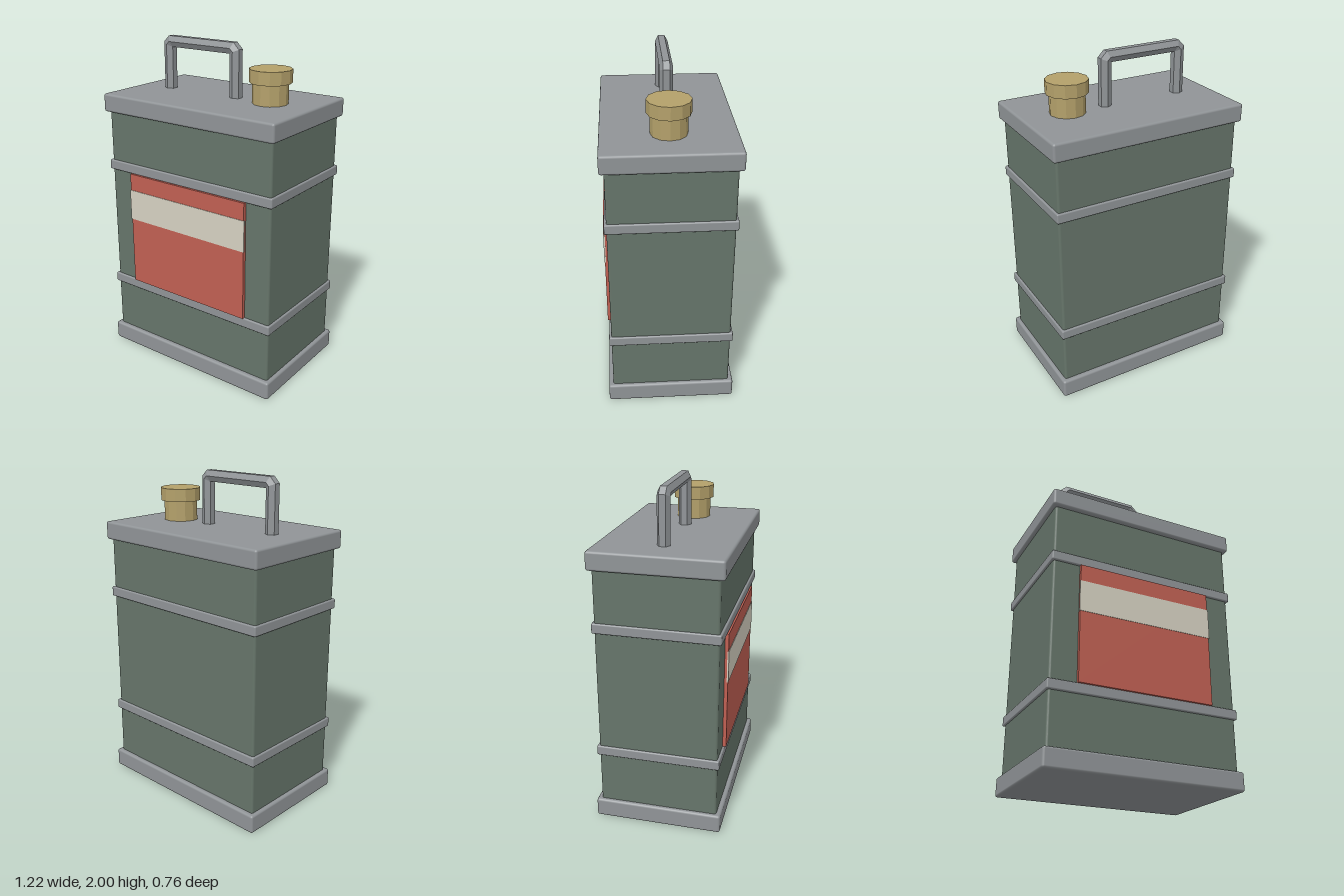
import * as THREE from 'three';
import { RoundedBoxGeometry } from 'three/addons/geometries/RoundedBoxGeometry.js';

const material = (name, color, flatShading = false) => {
  const m = new THREE.MeshStandardMaterial({ color, flatShading });
  m.name = name;
  return m;
};

// Hexagonal bar swept along a path in the xy plane, mitred at each bend
function hexBar(path, radius) {
  const positions = [], index = [], n = 6;
  path.forEach((p, i) => {
    const a = p.clone().sub(path[Math.max(i - 1, 0)]).normalize();
    const b = path[Math.min(i + 1, path.length - 1)].clone().sub(p).normalize();
    const t = a.clone().add(b).normalize();
    const ref = a.lengthSq() ? a : b;
    const mitre = 1 / t.dot(ref);
    for (let k = 0; k < n; k++) {
      const angle = (k / n) * Math.PI * 2;
      const side = Math.sin(angle) * radius * mitre;
      positions.push(p.x - t.y * side, p.y + t.x * side, Math.cos(angle) * radius);
    }
  });
  for (let i = 0; i < path.length - 1; i++) {
    for (let k = 0; k < n; k++) {
      const a = i * n + k, b = i * n + ((k + 1) % n);
      index.push(a, a + n, b, b, a + n, b + n);
    }
  }
  const g = new THREE.BufferGeometry();
  g.setAttribute('position', new THREE.Float32BufferAttribute(positions, 3));
  g.setIndex(index);
  g.computeVertexNormals();
  return g;
}

export function createModel() {
  const model = new THREE.Group();
  model.name = 'fuelCan';

  const green = material('green paint', 0x66756a);
  const steel = material('grey steel', 0x909497);
  const bar = steel.clone();
  bar.flatShading = true;
  bar.side = THREE.DoubleSide;
  const brass = material('brass', 0xb3a06a, true);
  const red = material('red label', 0xc06053);
  const cream = material('cream stripe', 0xd6d1c1);

  const add = (name, geometry, mat, x = 0, y = 0, z = 0) => {
    const mesh = new THREE.Mesh(geometry, mat);
    mesh.name = name;
    mesh.position.set(x, y, z);
    model.add(mesh);
    return mesh;
  };
  // Softened box given by its bottom and top heights
  const slab = (name, w, y0, y1, d, r, mat) =>
    add(name, new RoundedBoxGeometry(w, y1 - y0, d, 2, r), mat, 0, (y0 + y1) / 2, 0);

  // Can body, end plates and raised bands
  slab('body', 1.17, 0.06, 1.63, 0.71, 0.014, green);
  slab('basePlate', 1.216, 0, 0.115, 0.764, 0.014, steel);
  slab('topPlate', 1.216, 1.57, 1.68, 0.764, 0.014, steel);
  slab('lowerBand', 1.194, 0.425, 0.485, 0.736, 0.008, steel);
  slab('upperBand', 1.194, 1.205, 1.265, 0.736, 0.008, steel);

  // Front label with its stripe
  add('label', new THREE.BoxGeometry(0.844, 0.72, 0.024), red, 0, 0.845, 0.364);
  add('labelStripe', new THREE.BoxGeometry(0.852, 0.19, 0.009), cream, 0, 1.006, 0.3745);

  // Filler neck and cap
  add('fillerNeck', new THREE.CylinderGeometry(0.104, 0.104, 0.15, 12), brass, 0.337, 1.735, 0);
  add('fillerCap', new THREE.CylinderGeometry(0.124, 0.124, 0.077, 12), brass, 0.337, 1.8385, 0);

  // Carrying handle
  const left = -0.395, right = 0.097, top = 1.967, cut = 0.019;
  const path = [
    [left, 1.66], [left, top - cut], [left + cut, top],
    [right - cut, top], [right, top - cut], [right, 1.66],
  ].map(([x, y]) => new THREE.Vector2(x, y));
  add('handle', hexBar(path, 0.038), bar);

  return model;
}
